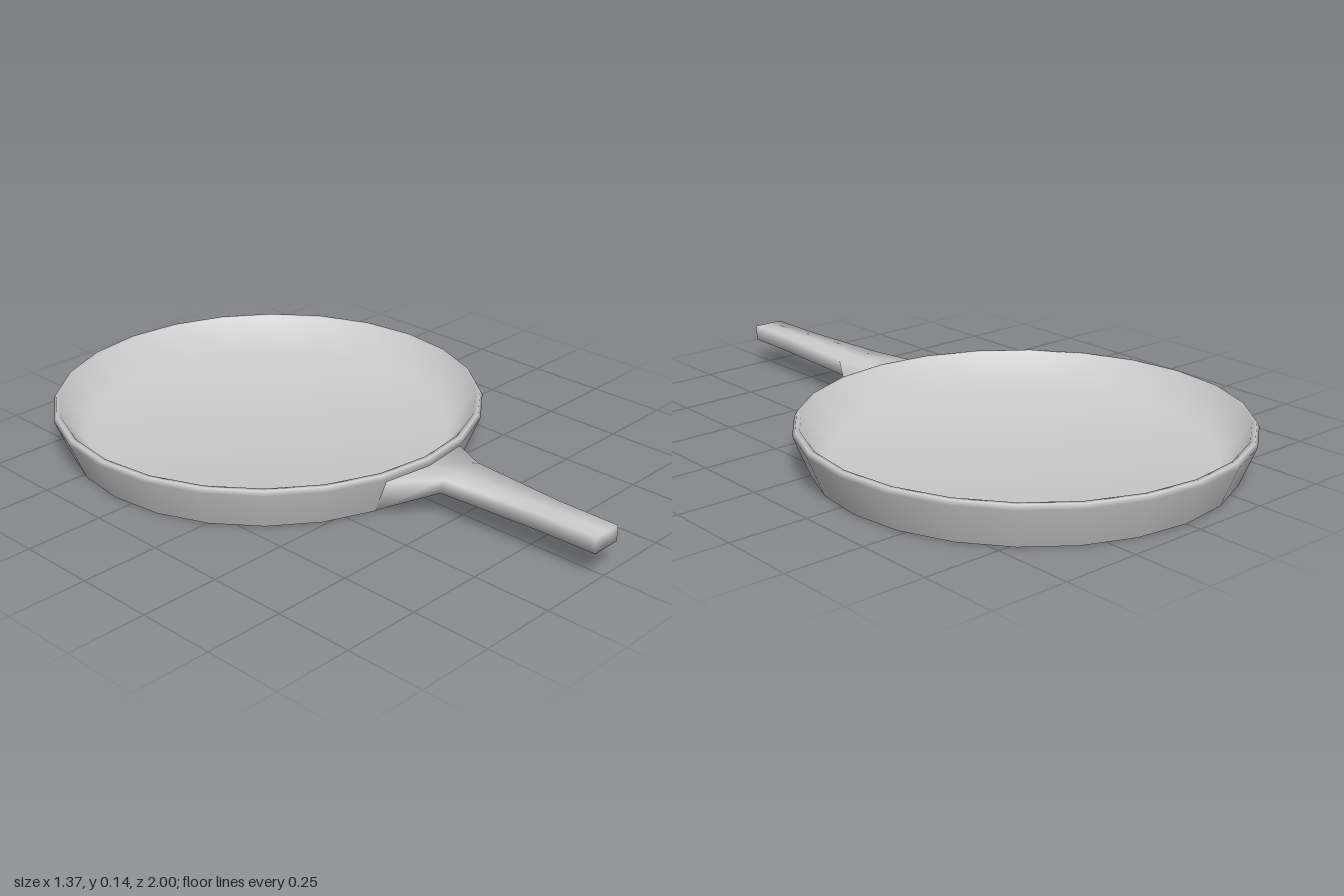
import * as THREE from 'three';

const SIDES = 24;
const material = new THREE.MeshStandardMaterial({ color: 0xcccccc });

function lathe(name, profile) {
  const points = profile.map(([r, y]) => new THREE.Vector2(r, y));
  const mesh = new THREE.Mesh(new THREE.LatheGeometry(points, SIDES), material);
  mesh.name = name;
  return mesh;
}

// Six-point ring: top left to right, then bottom right to left.
// mid pushes the centre points forward to follow the round pan wall.
function ring({ topW, botW, topY, botY, topZ, botZ, mid = 0 }) {
  return [
    [-topW, topY, topZ], [0, topY, topZ + mid], [topW, topY, topZ],
    [botW, botY, botZ], [0, botY, botZ + mid], [-botW, botY, botZ],
  ];
}

function createHandle() {
  const sections = [
    { topW: 0.165, botW: 0.164, topY: 0.113, botY: 0.001, topZ: 0.343, botZ: 0.298, mid: 0.022 },
    { topW: 0.077, botW: 0.07, topY: 0.137, botY: 0.086, topZ: 0.485, botZ: 0.47 },
    { topW: 0.052, botW: 0.052, topY: 0.137, botY: 0.087, topZ: 0.8, botZ: 0.8 },
    { topW: 0.05, botW: 0.05, topY: 0.137, botY: 0.088, topZ: 1, botZ: 1 },
  ].map(ring);
  const n = 6;
  const index = [];
  for (let s = 0; s < sections.length - 1; s++) {
    for (let i = 0; i < n; i++) {
      const a = s * n + i, b = s * n + (i + 1) % n;
      index.push(a, a + n, b + n, a, b + n, b);
    }
  }
  // End cap
  const e = (sections.length - 1) * n;
  index.push(e, e + 5, e + 4, e, e + 4, e + 1, e + 1, e + 4, e + 3, e + 1, e + 3, e + 2);

  const geometry = new THREE.BufferGeometry();
  geometry.setAttribute('position', new THREE.Float32BufferAttribute(sections.flat(2), 3));
  geometry.setIndex(index);
  geometry.computeVertexNormals();
  const mesh = new THREE.Mesh(geometry, material);
  mesh.name = 'handle';
  return mesh;
}

export function createModel() {
  const model = new THREE.Group();
  model.name = 'fryingPan';

  // Round pan: sloped wall, chamfered rim, inner wall and floor
  const pan = new THREE.Group();
  pan.name = 'pan';
  pan.position.z = -0.315;
  pan.add(lathe('bowl', [
    [0.636, 0], [0.685, 0.123], [0.677, 0.137], [0.663, 0.137], [0.58, 0.03], [0, 0.03],
  ]));
  pan.add(lathe('base', [[0, 0], [0.636, 0]]));

  model.add(pan, createHandle());
  return model;
}
